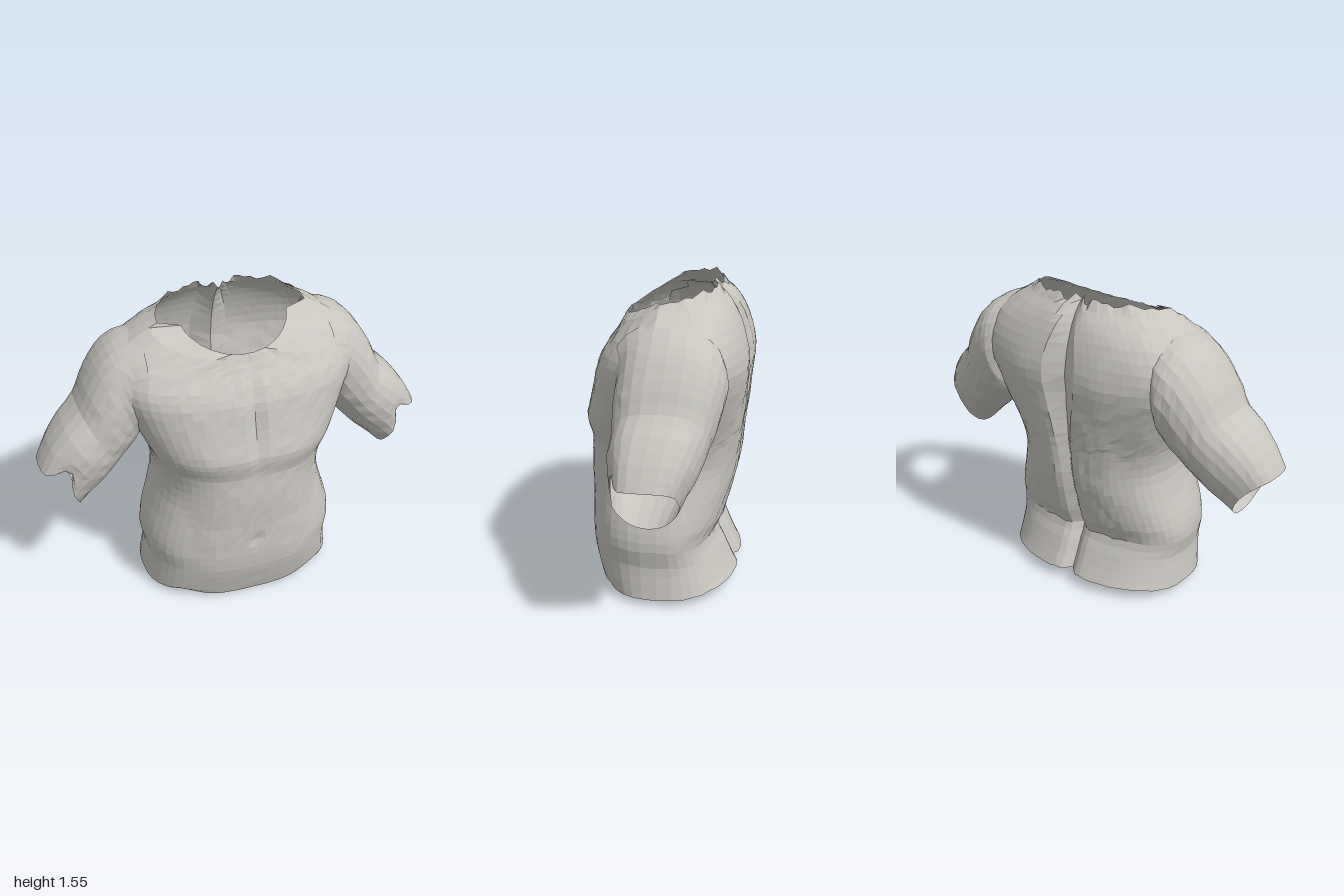
import * as THREE from 'three';

const skin = new THREE.MeshStandardMaterial({ color: 0xc8c5bf, flatShading: true, side: THREE.DoubleSide });
skin.name = 'stone grey';

// Small repeatable noise in -1..1
const noise = (i, j) => {
  const v = Math.sin(i * 12.9898 + j * 78.233) * 43758.5453;
  return (v - Math.floor(v)) * 2 - 1;
};
const bump = (x, cx, r) => Math.exp(-(((x - cx) / r) ** 2));
const power = (v, p) => Math.sign(v) * Math.abs(v) ** p;

// Insert a smooth in-between row after each row of a table
function refine(rows) {
  const out = [];
  rows.forEach((b, i) => {
    out.push(b);
    const c = rows[i + 1];
    if (!c) return;
    const a = rows[i - 1] ?? b, d = rows[i + 2] ?? c;
    out.push(b.map((v, k) => (9 * (v + c[k]) - a[k] - d[k]) / 16));
  });
  return out;
}

// Skin a list of closed rings, leaving both ends open
function loft(rings, flip, skip = () => false) {
  const n = rings[0].length, pos = [], index = [];
  rings.forEach(r => r.forEach(p => pos.push(p.x, p.y, p.z)));
  const mid = new THREE.Vector3();
  for (let i = 0; i < rings.length - 1; i++) {
    for (let j = 0; j < n; j++) {
      const k = (j + 1) % n;
      mid.copy(rings[i][j]).add(rings[i + 1][k]).multiplyScalar(0.5);
      if (skip(mid)) continue;
      const a = i * n + j, b = (i + 1) * n + j, c = (i + 1) * n + k, d = i * n + k;
      if (flip) index.push(a, d, b, b, d, c);
      else index.push(a, b, d, b, c, d);
    }
  }
  const g = new THREE.BufferGeometry();
  g.setAttribute('position', new THREE.Float32BufferAttribute(pos, 3));
  g.setIndex(index);
  g.computeVertexNormals();
  return g;
}

// Torso levels: y at front, side, back; half width; front z, back z; front and back squareness
const LEVELS = [
  [0.00, 0.03, 0.06, 0.51, 0.33, -0.36, 0.8, 0.8],
  [0.10, 0.11, 0.13, 0.50, 0.36, -0.325, 0.8, 0.8],
  [0.20, 0.20, 0.21, 0.49, 0.385, -0.29, 0.8, 0.8],
  [0.29, 0.29, 0.29, 0.505, 0.39, -0.255, 0.8, 0.8],
  [0.38, 0.38, 0.37, 0.495, 0.39, -0.29, 0.8, 0.8],
  [0.48, 0.48, 0.48, 0.465, 0.39, -0.32, 0.8, 0.8],
  [0.58, 0.58, 0.58, 0.435, 0.395, -0.345, 0.8, 0.8],
  [0.68, 0.68, 0.68, 0.42, 0.395, -0.36, 0.8, 0.8],
  [0.78, 0.78, 0.78, 0.435, 0.39, -0.37, 0.78, 0.78],
  [0.83, 0.83, 0.83, 0.45, 0.398, -0.375, 0.75, 0.75],
  [0.89, 0.89, 0.89, 0.475, 0.40, -0.38, 0.73, 0.72],
  [0.98, 0.98, 0.98, 0.515, 0.38, -0.385, 0.73, 0.67],
  [1.08, 1.08, 1.08, 0.56, 0.36, -0.39, 0.76, 0.62],
  [1.17, 1.18, 1.18, 0.595, 0.34, -0.395, 0.78, 0.6],
  [1.24, 1.28, 1.28, 0.60, 0.305, -0.38, 0.8, 0.62],
  [1.30, 1.37, 1.38, 0.56, 0.26, -0.35, 0.85, 0.7],
  [1.34, 1.445, 1.46, 0.465, 0.238, -0.31, 0.92, 0.8],
  [1.38, 1.495, 1.53, 0.37, 0.22, -0.25, 1.05, 0.9],
];

function torsoRings() {
  const n = 64, rows = refine(LEVELS), last = rows.length - 1;
  return rows.map(([yF, yS, yB, w, zF, zB, pF, pB], i) => {
    const ring = [];
    for (let j = 0; j < n; j++) {
      // Columns crowd toward the breastbone and spine
      const t = (j / n) * Math.PI * 2, a = t + 0.25 * Math.sin(2 * t);
      const c = Math.cos(a), s = Math.sin(a);
      const front = s > 0, p = front ? pF : pB;
      let x = w * power(c, p);
      let y = yS + ((front ? yF : yB) - yS) * Math.abs(s);
      let z = (front ? zF : -zB) * power(s, p);
      const ax = Math.abs(x), grain = noise(i, Math.round(Math.abs(c) * 100) + (front ? 0 : 500));
      if (front) {
        // Chest fullness, breastbone, navel and flank of the abdomen
        z += 0.01 * bump(ax, 0.2, 0.14) * bump(y, 0.92, 0.1);
        z -= 0.018 * bump(x, 0, 0.03) * bump(y, 1.06, 0.2);
        z -= 0.012 * bump(x, 0, 0.03) * bump(y, 0.38, 0.03);
        z -= 0.01 * bump(ax, 0.32, 0.06) * bump(y, 0.55, 0.25);
      } else {
        // Spine furrow, shoulder blades and the hollow beside them
        z += 0.055 * bump(x, 0, 0.035);
        z -= 0.012 * bump(ax, 0.2, 0.13) * bump(y, 1.12, 0.22);
        z += 0.012 * bump(ax, 0.32, 0.06) * bump(y, 0.75, 0.2);
      }
      z += grain * 0.002 * Math.abs(s);
      y += grain * 0.004;
      // Neck opening: stepped in at the front, ragged at the back
      if (i === last) {
        if (s > 0.1) x *= 0.72;
        y += front ? 0 : (grain * 0.014 + 0.02 * bump(ax, 0.25, 0.1)) * Math.abs(s);
      }
      // Wavy waist edge
      if (i === 0) y += 0.035 * bump(ax, 0.36, 0.1) * (front ? 1 : 0.2);
      ring.push(new THREE.Vector3(x, Math.max(y, 0), z));
    }
    return ring;
  });
}

// Arm stations: outer x, y, inner x, y, front z, back z
const ARM = [
  [0.46, 1.435, 0.49, 0.96, 0.215, -0.32],
  [0.54, 1.41, 0.49, 0.93, 0.19, -0.342],
  [0.61, 1.37, 0.495, 0.91, 0.175, -0.335],
  [0.675, 1.30, 0.51, 0.88, 0.172, -0.325],
  [0.735, 1.20, 0.545, 0.845, 0.172, -0.305],
  [0.78, 1.105, 0.60, 0.785, 0.165, -0.28],
  [0.86, 1.03, 0.67, 0.71, 0.17, -0.25],
  [0.94, 0.93, 0.75, 0.64, 0.155, -0.21],
  [1.00, 0.82, 0.82, 0.57, 0.14, -0.17],
];

function armRings(side) {
  const n = 24, rows = refine(ARM), last = rows.length - 1;
  return rows.map(([ox, oy, ix, iy, zF, zB], i) => {
    const ring = [];
    for (let j = 0; j < n; j++) {
      const a = (j / n) * Math.PI * 2, c = Math.cos(a), s = Math.sin(a);
      const t = (1 - power(c, 0.92)) / 2;
      let x = ox + (ix - ox) * t, y = oy + (iy - oy) * t;
      // Outer half turns squarer toward the cuff
      const q = c > 0 ? 0.92 - (0.25 * i) / last : 0.92;
      const z = (zF + zB) / 2 + ((zF - zB) / 2) * power(s, q);
      // Uneven cuff, notched at the upper front
      const reach = Math.max(0, 1 - (last - i) / 3);
      const cut = reach * (0.025 * s * s + 0.06 * bump(a, 1.2, 0.35));
      x -= cut;
      y += cut * 1.2;
      ring.push(new THREE.Vector3(x * side, y, z + noise(i, j) * 0.003));
    }
    return ring;
  });
}

export function createModel() {
  const model = new THREE.Group();
  model.name = 'torso sculpture';
  const add = (name, geometry) => {
    const mesh = new THREE.Mesh(geometry, skin);
    mesh.name = name;
    model.add(mesh);
  };

  // Torso shell, open at neck and waist, with sockets where the arms join
  const inArm = p => Math.abs(p.x) > 0.47 && ((p.y - 1.19) / 0.21) ** 2 + ((p.z + 0.07) / 0.22) ** 2 < 1;
  add('torso', loft(torsoRings(), false, inArm));

  // Upper arms, open at the cuffs
  add('leftArm', loft(armRings(1), true));
  add('rightArm', loft(armRings(-1), false));
  return model;
}
